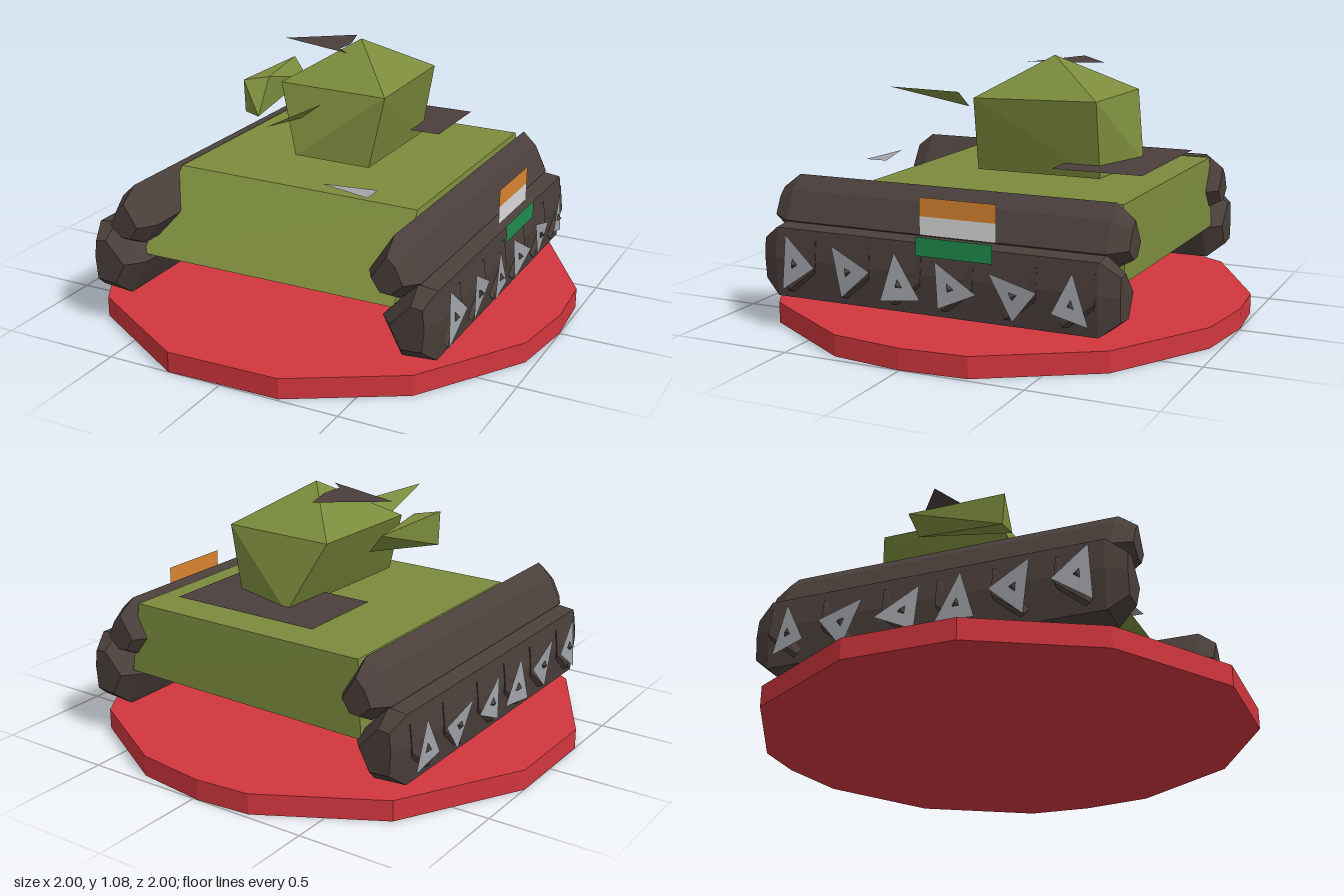
import * as THREE from 'three';
import { ConvexGeometry } from 'three/addons/geometries/ConvexGeometry.js';

const mat = (name, color) => {
  const m = new THREE.MeshStandardMaterial({ color, side: THREE.DoubleSide, flatShading: true });
  m.name = name;
  return m;
};
const red = mat('baseRed', 0xd0363d);
const olive = mat('olive', 0x7b8b3c);
const dark = mat('darkBrown', 0x4a3f3b);
const grey = mat('steelGrey', 0xa0a3a9);
const orange = mat('flagOrange', 0xd98330);
const white = mat('flagWhite', 0xdadada);
const green = mat('flagGreen', 0x1f8a4c);

export function createModel() {
  const model = new THREE.Group();
  model.name = 'tank';
  const add = (name, geometry, material, parent = model) => {
    const mesh = new THREE.Mesh(geometry, material);
    mesh.name = name;
    parent.add(mesh);
    return mesh;
  };
  const hull = (pts) => new ConvexGeometry(pts.map((p) => new THREE.Vector3(...p)));
  // flat triangle between three points
  const triangle = (a, b, c) => {
    const g = new THREE.BufferGeometry();
    g.setAttribute('position', new THREE.Float32BufferAttribute([...a, ...b, ...c], 3));
    g.computeVertexNormals();
    return g;
  };
  // horizontal outline given as x, z pairs
  const outline = (pts) => new THREE.Shape(pts.map(([x, z]) => new THREE.Vector2(x, -z)));

  // Round display base
  const rim = [[-0.02, -1], [0.28, -0.96], [0.71, -0.71], [0.98, -0.27], [1, 0], [0.96, 0.3], [0.68, 0.74],
    [0.25, 0.99], [-0.23, 1], [-0.73, 0.7], [-1, 0.23], [-1, -0.22], [-0.72, -0.72], [-0.25, -0.98]];
  const base = new THREE.ExtrudeGeometry(outline(rim), { depth: 0.085, bevelEnabled: false });
  add('base', base.rotateX(-Math.PI / 2), red);

  // Body with sloping front
  add('body', hull([
    [-0.55, 0.595, -0.7], [0.53, 0.59, -0.69], [-0.55, 0.595, 0.38], [0.53, 0.59, 0.39],
    [-0.57, 0.3, 0.66], [0.56, 0.3, 0.66], [-0.57, 0.285, -0.71], [0.56, 0.3, -0.71],
  ]), olive);

  // Turret
  add('turret', hull([
    [0, 1.075, -0.19], [0.235, 0.91, 0.07], [-0.25, 0.915, 0.06], [0.225, 0.92, -0.46], [-0.25, 0.92, -0.47],
    [-0.13, 0.64, 0.16], [0.17, 0.605, 0.08], [-0.11, 0.64, -0.545], [0.17, 0.605, -0.46],
  ]), olive);
  add('barrel', triangle([-0.06, 0.83, 0.235], [0.035, 0.903, 0.24], [-0.01, 0.903, 0.595]), olive);
  add('sideBox', hull([
    [-0.38, 0.93, 0.15], [-0.31, 0.93, 0.06], [-0.38, 0.79, 0.14], [-0.31, 0.78, 0.155],
    [-0.38, 0.93, -0.29], [-0.31, 0.85, -0.27],
  ]), olive);

  // Flat plates: hatch, engine deck and front marker
  const hatch = new THREE.ShapeGeometry(outline([
    [-0.36, -0.18], [-0.11, -0.37], [-0.06, -0.21], [-0.065, -0.12], [0, -0.06],
  ])).rotateX(-Math.PI / 2);
  add('hatch', hatch, dark).position.y = 1.04;
  const deck = add('engineDeck', new THREE.PlaneGeometry(0.65, 0.375).rotateX(-Math.PI / 2), dark);
  deck.position.set(-0.01, 0.66, -0.4975);
  add('frontMarker', triangle([0.15, 0.655, 0.455], [0.37, 0.648, 0.5], [0.37, 0.648, 0.405]), grey);

  // Tracks: two bars each, tapered at the ends
  const upper = [[0.572, 0.605], [0.63, 0.55], [0.685, 0.435], [0.6, 0.36], [0.53, 0.365], [0.472, 0.45]];
  const lower = [[0.67, 0.43], [0.75, 0.42], [0.765, 0.3], [0.75, 0.14], [0.61, 0.13], [0.53, 0.28]];
  const bar = (section, s) => {
    const cx = section.reduce((t, p) => t + p[0], 0) / section.length;
    const cy = section.reduce((t, p) => t + p[1], 0) / section.length;
    const pts = [];
    for (const [z, k] of [[-0.755, 0.6], [-0.68, 1], [0.69, 1], [0.765, 0.6]]) {
      for (const [x, y] of section) pts.push([s * (cx + (x - cx) * k), cy + (y - cy) * k, z]);
    }
    return hull(pts);
  };
  // Wheel plates as z, y corners
  const plates = [
    [[0.635, 0.4], [0.496, 0.28], [0.65, 0.175]],
    [[0.415, 0.38], [0.25, 0.29], [0.383, 0.17]],
    [[0.14, 0.38], [0.035, 0.2], [0.2, 0.185]],
    [[-0.03, 0.36], [-0.21, 0.255], [-0.045, 0.18]],
    [[-0.26, 0.345], [-0.45, 0.29], [-0.35, 0.165]],
    [[-0.59, 0.38], [-0.65, 0.18], [-0.51, 0.22]],
  ];
  for (const s of [-1, 1]) {
    const track = new THREE.Group();
    track.name = s > 0 ? 'leftTrack' : 'rightTrack';
    model.add(track);
    add('upperTrack', bar(upper, s), dark, track);
    add('lowerTrack', bar(lower, s), dark, track);
    plates.forEach((corners, i) => {
      const cz = corners.reduce((t, p) => t + p[0], 0) / 3;
      const cy = corners.reduce((t, p) => t + p[1], 0) / 3;
      const depth = [0.775, 0.79, 0.783];
      const at = (k, x) => corners.map(([z, y], j) => [s * (x ?? depth[(i + j) % 3]), cy + (y - cy) * k, cz + (z - cz) * k]);
      add('wheelPlate', triangle(...at(1)), grey, track);
      add('wheelHub', hull([...at(0.25, 0.775), [s * 0.8, cy, cz]]), dark, track);
      // jagged wheel behind the plate
      add('wheel', hull([
        [s * 0.7, 0.4, cz - 0.07], [s * 0.76, 0.38, cz - 0.09], [s * 0.772, 0.27, cz - 0.09],
        [s * 0.7, 0.15, cz - 0.05], [s * 0.768, 0.17, cz + 0.04], [s * 0.7, 0.3, cz + 0.1],
      ]), dark, track);
    });
  }

  // Striped flag on the left side
  const flag = new THREE.Group();
  flag.name = 'flag';
  model.add(flag);
  [green, white, orange].forEach((m, i) => {
    const stripe = add('flagStripe', new THREE.PlaneGeometry(0.322, 0.073).rotateY(Math.PI / 2), m, flag);
    stripe.position.set(0.772 - 0.035, 0.411 + i * 0.073, -0.108);
    if (i === 0) stripe.position.x += 0.035;
  });
  return model;
}
